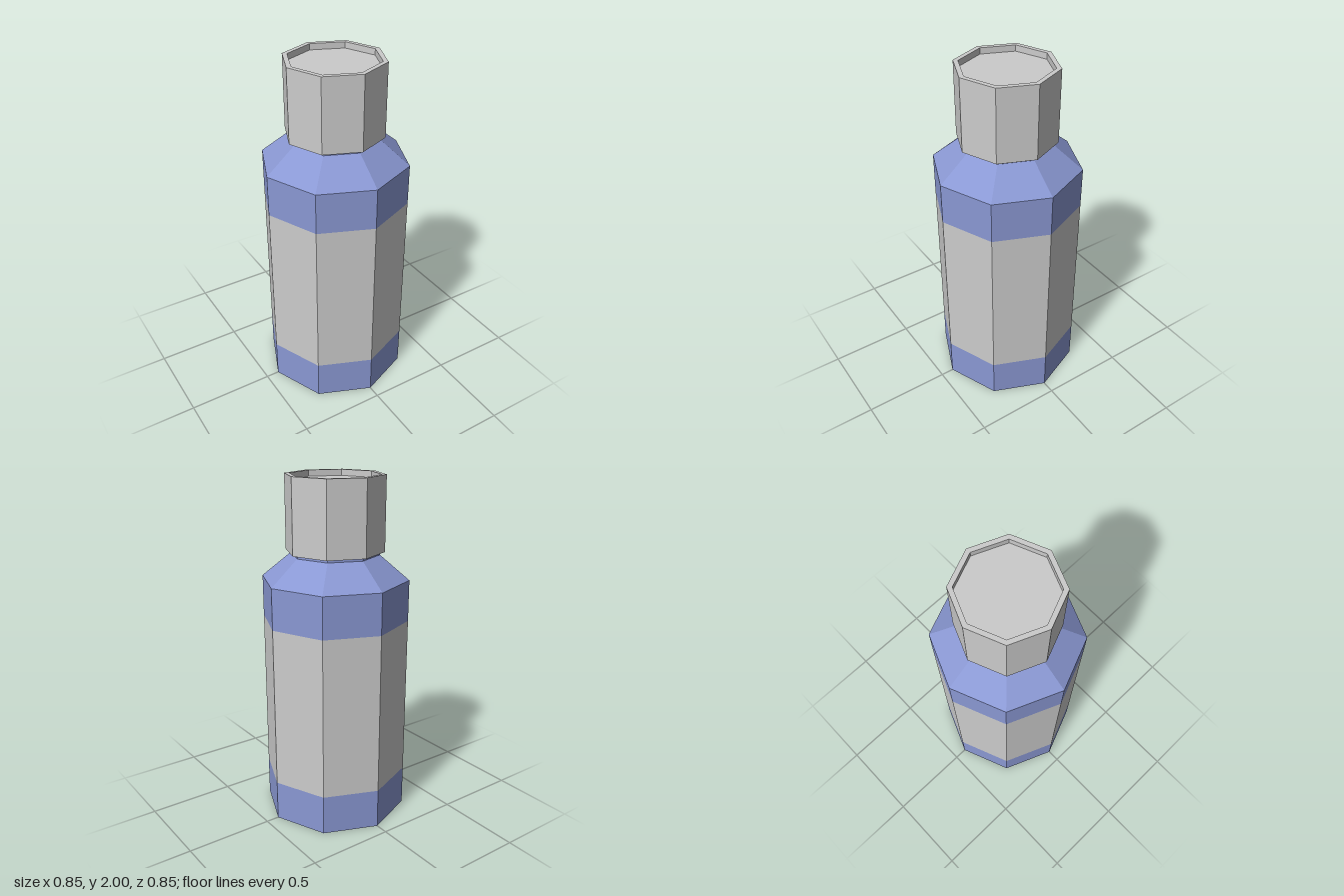
import * as THREE from 'three';

const SIDES = 8;

// Faceted solid turned from a [radius, height] profile, listed from the bottom up
function turned(name, profile, material) {
  const points = profile.map(([r, y]) => new THREE.Vector2(r, y));
  const mesh = new THREE.Mesh(new THREE.LatheGeometry(points, SIDES), material);
  mesh.name = name;
  return mesh;
}

export function createModel() {
  const grey = new THREE.MeshStandardMaterial({ color: 0xcccccc, flatShading: true });
  const blue = new THREE.MeshStandardMaterial({ color: 0x8a98d3, flatShading: true });

  const bodyR = 0.424, neckR = 0.255, capR = 0.283;
  const group = new THREE.Group();
  group.name = 'bottle';

  group.add(
    // Body: closed base band, label band, then upper band with shoulder and neck
    turned('baseBand', [[0, 0], [bodyR, 0], [bodyR, 0.236]], blue),
    turned('label', [[bodyR, 0.236], [bodyR, 1.182]], grey),
    turned('shoulderAndNeck', [[bodyR, 1.182], [bodyR, 1.42], [neckR, 1.56], [neckR, 1.6]], blue),
    // Cap with a shallow recess in its top
    turned('cap', [[0, 1.577], [capR, 1.577], [capR, 2], [neckR, 2], [neckR, 1.965], [0, 1.965]], grey),
  );
  return group;
}
